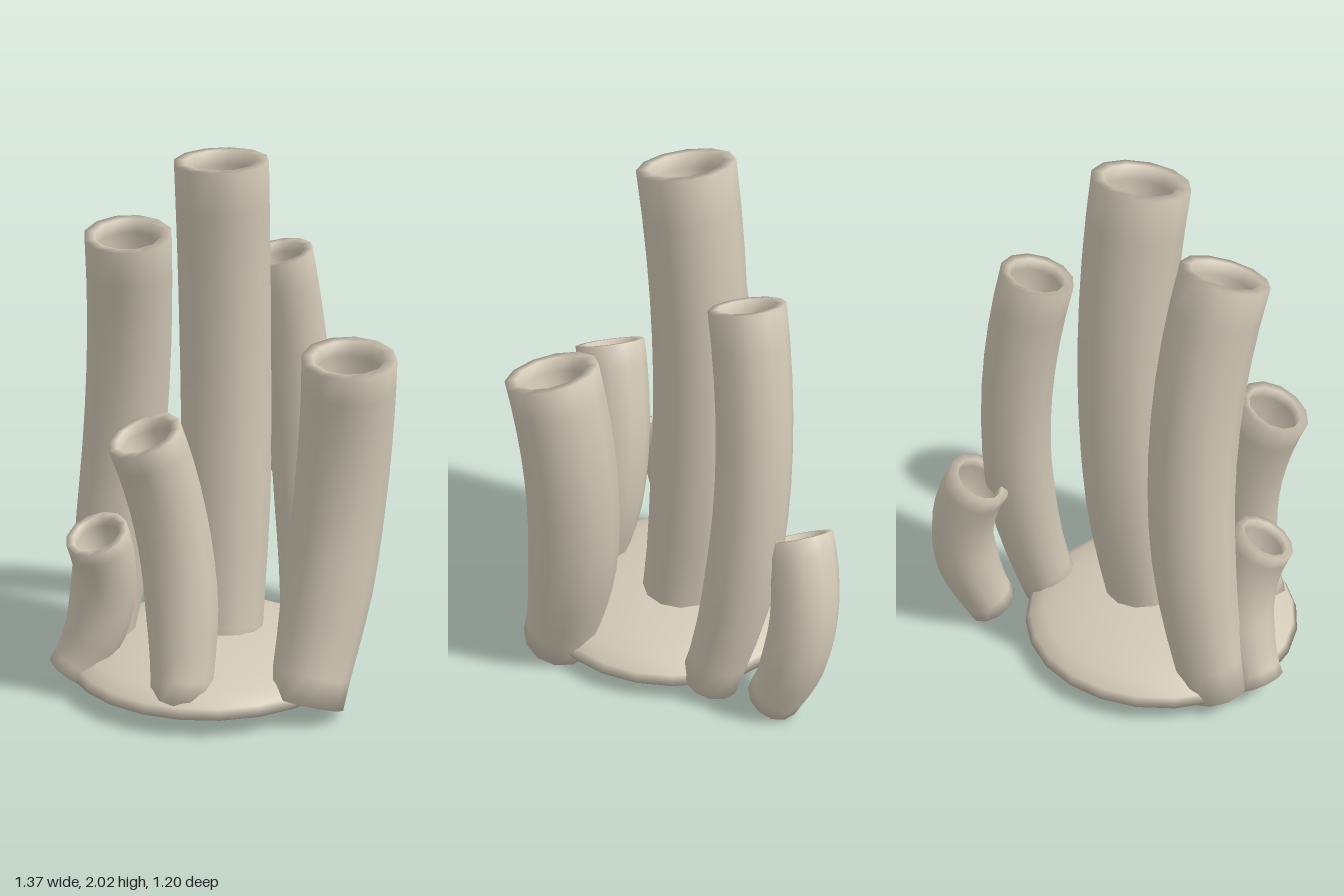
import * as THREE from 'three';

const SIDES = 12;

// Smooth skin through rings of given centre, direction and radius
function skin(rings, material) {
  const pos = [], index = [];
  for (const { p, t, r } of rings) {
    const n = new THREE.Vector3(1, 0, 0).addScaledVector(t, -t.x).normalize();
    const b = new THREE.Vector3().crossVectors(n, t);
    for (let j = 0; j < SIDES; j++) {
      const a = (j / SIDES) * Math.PI * 2;
      const v = p.clone().addScaledVector(n, r * Math.cos(a)).addScaledVector(b, r * Math.sin(a));
      pos.push(v.x, v.y, v.z);
    }
  }
  for (let i = 0; i < rings.length - 1; i++) {
    for (let j = 0; j < SIDES; j++) {
      const k = (j + 1) % SIDES;
      const a = i * SIDES + j, b = i * SIDES + k;
      index.push(a, a + SIDES, b, b, a + SIDES, b + SIDES);
    }
  }
  const g = new THREE.BufferGeometry();
  g.setAttribute('position', new THREE.Float32BufferAttribute(pos, 3));
  g.setIndex(index);
  g.computeVertexNormals();
  return new THREE.Mesh(g, material);
}

// Curved hollow tube: base, point halfway along, top, and radius
function makeTube(base, middle, top, R, material) {
  const p0 = new THREE.Vector3(...base), p2 = new THREE.Vector3(...top);
  const control = new THREE.Vector3(...middle).multiplyScalar(2)
    .addScaledVector(p0, -0.5).addScaledVector(p2, -0.5);
  const curve = new THREE.QuadraticBezierCurve3(p0, control, p2);
  const length = curve.getLength();
  const ring = (u, r) => ({ p: curve.getPointAt(u), t: curve.getTangentAt(u), r });

  // Closed foot, then the outer wall, narrower at the foot
  const rings = [ring(0, 0.001)];
  for (let i = 0; i <= 12; i++) {
    const u = i / 12;
    rings.push(ring(u, R * (0.84 + 0.16 * THREE.MathUtils.smoothstep(u, 0, 0.4))));
  }
  // Flat lip, inner wall and floor, as depth and radius in units of R
  for (const [d, r] of [[0, 0.76], [0.3, 0.73], [1.4, 0.7], [1.4, 0.001]]) {
    rings.push(ring(1 - (d * R) / length, r * R));
  }
  return skin(rings, material);
}

export function createModel() {
  const model = new THREE.Group();
  model.name = 'tubeCluster';
  const stone = new THREE.MeshStandardMaterial({ color: 0xd2c8b6, side: THREE.DoubleSide });
  stone.name = 'paleStone';

  // Shallow dome with a closed flat underside
  const profile = [new THREE.Vector2(0, 0)];
  for (let i = 0; i <= 6; i++) {
    const a = (i / 6) * Math.PI / 2;
    profile.push(new THREE.Vector2(i === 6 ? 0 : 0.55 * Math.cos(a), 0.137 * Math.sin(a)));
  }
  const dome = new THREE.Mesh(new THREE.LatheGeometry(profile, 24), stone);
  dome.position.set(-0.07, 0.06, 0.005);
  dome.name = 'baseDome';
  model.add(dome);

  // name, base, middle, top, radius
  const tubes = [
    ['centreTube', [-0.005, 0.03, 0.005], [0.035, 1.0, -0.092], [-0.003, 1.98, -0.037], 0.175],
    ['rightTallTube', [-0.485, 0.045, -0.165], [-0.35, 0.9, -0.17], [-0.362, 1.735, -0.02], 0.16],
    ['leftTallTube', [0.405, 0.045, -0.138], [0.432, 0.8, -0.272], [0.305, 1.59, -0.247], 0.136],
    ['leftBackShortTube', [0.515, 0.045, -0.375], [0.56, 0.41, -0.468], [0.455, 0.738, -0.45], 0.124],
    ['leftFrontTube', [0.15, 0.04, 0.46], [0.3, 0.7, 0.373], [0.31, 1.33, 0.43], 0.17],
    ['rightFrontTube', [-0.3, 0.06, 0.35], [-0.275, 0.58, 0.25], [-0.397, 1.068, 0.26], 0.138],
    ['rightShortTube', [-0.605, 0.055, -0.05], [-0.485, 0.35, -0.01], [-0.525, 0.645, 0.06], 0.119],
  ];
  for (const [name, base, middle, top, radius] of tubes) {
    const tube = makeTube(base, middle, top, radius, stone);
    tube.name = name;
    model.add(tube);
  }
  return model;
}
